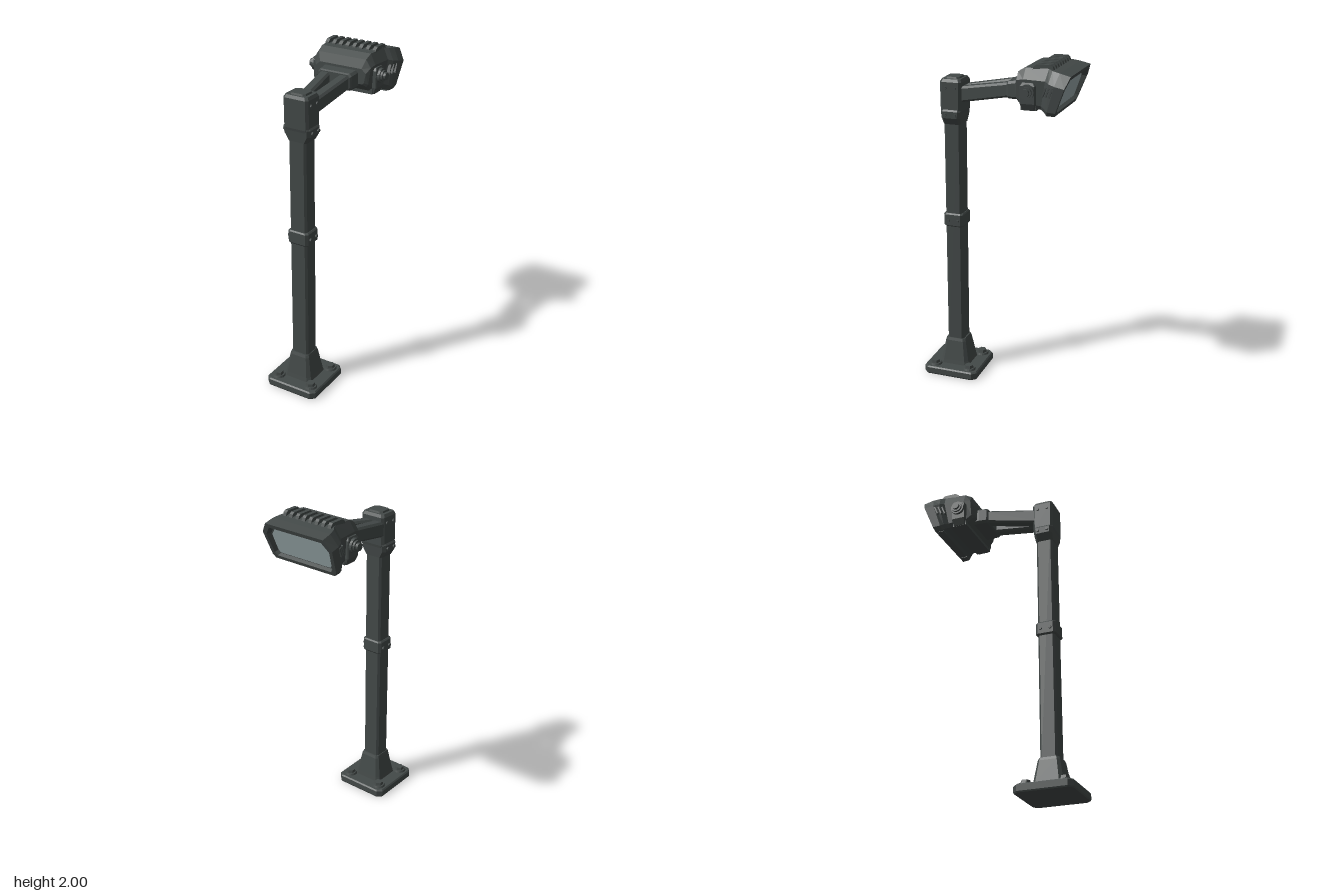
import * as THREE from 'three';

const steel = new THREE.MeshStandardMaterial({ color: 0x434948, flatShading: true, name: 'dark steel' });
const lensGlass = new THREE.MeshStandardMaterial({ color: 0x9aa9ab, flatShading: true, name: 'lens glass' });

const CX = 0.007, CZ = 0.288; // pole axis

// Closed skin through rings of equal point count, capped at both ends
function loft(rings) {
  const n = rings[0].length, idx = [], last = (rings.length - 1) * n;
  for (let i = 0; i < rings.length - 1; i++) {
    for (let j = 0; j < n; j++) {
      const a = i * n + j, b = i * n + (j + 1) % n;
      idx.push(a, b, b + n, a, b + n, a + n);
    }
  }
  for (let j = 1; j < n - 1; j++) idx.push(0, j + 1, j, last, last + j, last + j + 1);
  const g = new THREE.BufferGeometry();
  g.setAttribute('position', new THREE.Float32BufferAttribute(rings.flat(2), 3));
  g.setIndex(idx);
  const flat = g.toNonIndexed();
  flat.computeVertexNormals();
  return flat;
}

// Rectangle with cut corners
const octagon = (u, v, c) => [
  [u - c, v], [u, v - c], [u, c - v], [u - c, -v],
  [c - u, -v], [-u, c - v], [-u, v - c], [c - u, v],
];
const ringY = (y, hx, hz, c, cx = CX, cz = CZ) => octagon(hx, hz, c).map(([u, v]) => [cx + u, y, cz + v]);
const ringZ = (z, cx, cy, hx, hy, c) => octagon(hx, hy, c).map(([u, v]) => [cx + u, cy + v, z]);

// Lamp cross-section between a top and a bottom point, with half-width w
const lampProfile = [[0.83, 1], [1, 0.72], [0.93, 0.1], [0.86, 0], [-0.86, 0], [-0.93, 0.1], [-1, 0.72], [-0.83, 1]];
const lampRing = (zt, yt, zb, yb, w) =>
  lampProfile.map(([u, t]) => [u * w, yb + (yt - yb) * t, zb + (zt - zb) * t]);

export function createModel() {
  const root = new THREE.Group();
  root.name = 'floodlightPost';
  const add = (name, geo, x = 0, y = 0, z = 0, mat = steel, parent = root) => {
    const m = new THREE.Mesh(geo, mat);
    m.name = name;
    m.position.set(x, y, z);
    parent.add(m);
    return m;
  };

  // Base plate with four hex bolts
  add('basePlate', loft([
    ringY(0, 0.168, 0.17, 0.025), ringY(0.008, 0.172, 0.174, 0.027),
    ringY(0.042, 0.172, 0.174, 0.027), ringY(0.05, 0.165, 0.167, 0.025),
  ]));
  for (const sx of [-1, 1]) {
    for (const sz of [-1, 1]) {
      const x = CX + sx * 0.115, z = CZ + sz * 0.113;
      add('baseWasher', new THREE.CylinderGeometry(0.036, 0.041, 0.012, 20), x, 0.055, z);
      add('baseBolt', new THREE.CylinderGeometry(0.026, 0.03, 0.018, 6), x, 0.069, z);
    }
  }

  // Tapered pedestal, pole and middle clamp
  add('pedestal', loft([
    ringY(0.045, 0.094, 0.094, 0.02), ringY(0.075, 0.088, 0.088, 0.02),
    ringY(0.2, 0.066, 0.066, 0.015), ringY(0.217, 0.06, 0.06, 0.014),
  ]));
  add('pole', loft([ringY(0.2, 0.056, 0.052, 0.012), ringY(1.68, 0.056, 0.052, 0.012)]));
  add('poleClamp', loft([
    ringY(0.962, 0.06, 0.056, 0.013), ringY(0.97, 0.068, 0.062, 0.015),
    ringY(1.038, 0.068, 0.062, 0.015), ringY(1.046, 0.06, 0.056, 0.013),
  ]));

  // Pole head with lid and neck clamp
  add('neckClamp', loft([
    ringY(1.595, 0.062, 0.054, 0.014), ringY(1.635, 0.086, 0.058, 0.016),
    ringY(1.675, 0.088, 0.062, 0.016), ringY(1.685, 0.08, 0.06, 0.016),
  ]));
  add('poleHead', loft([
    ringY(1.64, 0.068, 0.056, 0.014), ringY(1.675, 0.08, 0.064, 0.014), ringY(1.845, 0.08, 0.066, 0.014),
    ringY(1.862, 0.07, 0.057, 0.012),
  ]));
  add('headLid', loft([ringY(1.855, 0.054, 0.048, 0.014), ringY(1.872, 0.048, 0.042, 0.014)]));

  // Small bolts on the sides of clamps and head
  for (const s of [-1, 1]) {
    for (const [y, off] of [[1.0, 0.07], [1.655, 0.088], [1.81, 0.08]]) {
      for (const dz of [-0.03, 0.03]) {
        const b = add('sideBolt', new THREE.CylinderGeometry(0.01, 0.01, 0.016, 8), CX + s * off, y, CZ + dz);
        b.rotation.z = Math.PI / 2;
      }
    }
  }

  // Forked arm and the block that carries the lamp
  for (const s of [-1, 1]) {
    add('forkArm', loft([
      ringZ(0.24, s * 0.034, 1.773, 0.035, 0.046, 0.012),
      ringZ(-0.09, s * 0.065, 1.833, 0.033, 0.042, 0.012),
    ]));
  }
  add('armBlock', loft([
    ringZ(-0.062, 0, 1.832, 0.102, 0.044, 0.014), ringZ(-0.072, 0, 1.832, 0.11, 0.05, 0.014),
    ringZ(-0.12, 0, 1.835, 0.115, 0.052, 0.014), ringZ(-0.16, 0, 1.835, 0.115, 0.052, 0.014),
  ]));

  // Lamp housing, ending in a slanted rim and a recess
  const lamp = new THREE.Group();
  lamp.name = 'lamp';
  root.add(lamp);
  add('lampHousing', loft([
    lampRing(-0.132, 1.9, -0.132, 1.81, 0.165),
    lampRing(-0.15, 1.953, -0.145, 1.795, 0.188),
    lampRing(-0.195, 1.977, -0.175, 1.765, 0.194),
    lampRing(-0.33, 1.98, -0.29, 1.752, 0.204),
    lampRing(-0.355, 1.973, -0.315, 1.74, 0.226),
    lampRing(-0.4, 1.965, -0.33, 1.728, 0.24),
    lampRing(-0.462, 1.95, -0.376, 1.726, 0.243),
    lampRing(-0.454, 1.928, -0.384, 1.746, 0.22),
    lampRing(-0.42, 1.928, -0.365, 1.757, 0.21),
  ]), 0, 0, 0, steel, lamp);
  add('lens', loft([
    lampRing(-0.416, 1.919, -0.367, 1.765, 0.203),
    lampRing(-0.421, 1.917, -0.372, 1.763, 0.203),
  ]), 0, 0, 0, lensGlass, lamp);

  // Cooling fins on the roof
  const finShape = new THREE.Shape([[0.235, 1.965], [0.36, 1.965], [0.35, 1.99], [0.338, 2], [0.26, 2], [0.24, 1.985]]
    .map(([a, b]) => new THREE.Vector2(a, b)));
  const finGeo = new THREE.ExtrudeGeometry(finShape, { depth: 0.022, bevelEnabled: false });
  finGeo.rotateY(Math.PI / 2); // profile runs towards -z
  for (let i = 0; i < 8; i++) {
    add('coolingFin', finGeo, -0.1675 + i * 0.0447, 0, 0, steel, lamp);
  }

  // Yoke under the lamp, pivot knobs and side louvres
  add('yokeBottom', new THREE.BoxGeometry(0.37, 0.03, 0.09), 0, 1.76, -0.22, steel, lamp);
  for (const s of [-1, 1]) {
    add('yokeCheek', loft([
      ringY(1.746, 0.012, 0.036, 0.004, s * 0.18, -0.22), ringY(1.785, 0.015, 0.045, 0.005, s * 0.195, -0.22),
      ringY(1.885, 0.015, 0.045, 0.005, s * 0.197, -0.22), ringY(1.902, 0.012, 0.034, 0.004, s * 0.192, -0.22),
    ]), 0, 0, 0, steel, lamp);
    for (const [r, x, len] of [[0.042, 0.212, 0.03], [0.032, 0.231, 0.016], [0.022, 0.244, 0.02]]) {
      const k = add('pivotKnob', new THREE.CylinderGeometry(r, r, len, 20), s * x, 1.853, -0.22, steel, lamp);
      k.rotation.z = Math.PI / 2;
    }
    for (let i = 0; i < 3; i++) {
      const l = add('sideLouvre', new THREE.BoxGeometry(0.02, 0.055, 0.009),
        s * (0.214 + i * 0.008), 1.86, -0.318 - i * 0.021, steel, lamp);
      l.rotation.x = -0.38;
    }
    // Corner lugs on the lower rim
    add('rimLug', new THREE.BoxGeometry(0.04, 0.022, 0.04), s * 0.175, 1.735, -0.345, steel, lamp);
  }
  return root;
}
